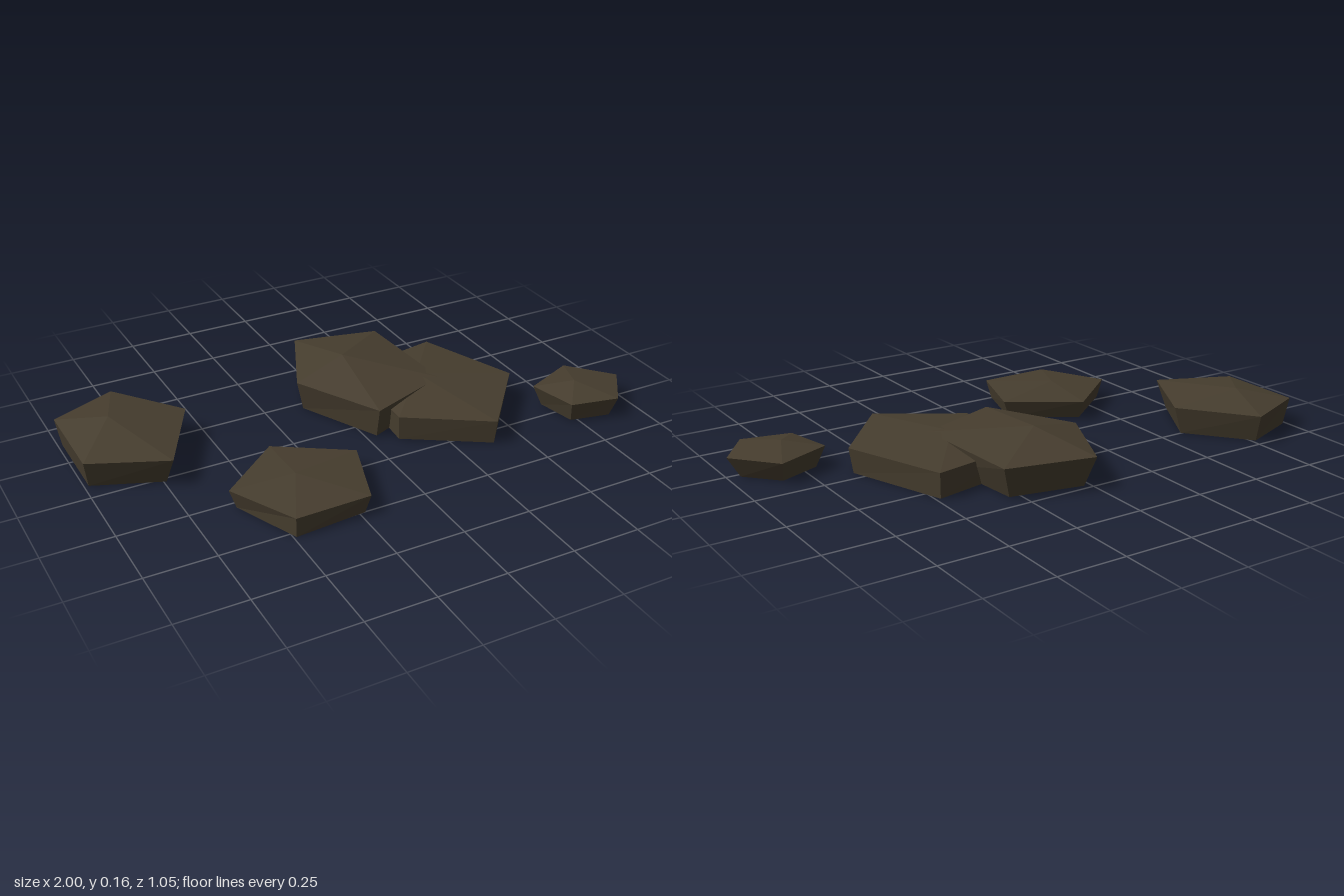
import * as THREE from 'three';

// Each stone: apex [x, y, z], rim height, rim corners [x, z, inset of the foot towards the apex],
// corners run clockwise as seen from above.
const STONES = [
  { name: 'stoneFarRight', apex: [-0.84, 0.137, -0.265], rimY: 0.103, rim: [
    [-1, -0.39, 0.9], [-0.755, -0.495, 0.86], [-0.56, -0.245, 0.89], [-0.725, 0.065, 0.87], [-1, -0.055, 0.9]] },
  { name: 'stoneFront', apex: [-0.39, 0.093, 0.31], rimY: 0.07, rim: [
    [-0.38, 0.08, 0.87], [-0.125, 0.245, 0.9], [-0.215, 0.518, 0.92], [-0.49, 0.524, 1], [-0.615, 0.275, 0.9]] },
  { name: 'stoneLarge', apex: [0.08, 0.16, -0.26], rimY: 0.116, rim: [
    [0.01, -0.53, 0.81], [0.328, -0.457, 0.84], [0.355, -0.005, 0.9], [0.037, 0.115, 0.93], [-0.133, -0.21, 0.88]] },
  { name: 'stoneMiddle', apex: [0.29, 0.124, -0.06], rimY: 0.092, rim: [
    [0.487, -0.32, 0.98], [0.63, 0.055, 0.96], [0.39, 0.34, 0.97], [0.096, 0.15, 0.98], [0.12, -0.25, 0.95]] },
  { name: 'stoneSmall', apex: [0.8, 0.103, 0.23], rimY: 0.077, rim: [
    [0.865, 0.075, 0.74], [1, 0.23, 0.77], [0.89, 0.383, 0.83], [0.71, 0.345, 0.82], [0.667, 0.16, 0.77]] },
];

// Low faceted slab: fan roof up to the apex, tapering sides, flat underside
function stoneGeometry({ apex, rimY, rim }) {
  const top = rim.map(([x, z]) => [x, rimY, z]);
  const foot = rim.map(([x, z, t]) => [
    THREE.MathUtils.lerp(apex[0], x, t), 0, THREE.MathUtils.lerp(apex[2], z, t)]);
  const n = rim.length;
  const points = [];
  for (let i = 0; i < n; i++) {
    const j = (i + 1) % n;
    points.push(apex, top[j], top[i]);
    points.push(top[i], top[j], foot[j], top[i], foot[j], foot[i]);
    if (i > 0 && j > 0) points.push(foot[0], foot[i], foot[j]);
  }
  const geometry = new THREE.BufferGeometry();
  geometry.setAttribute('position', new THREE.Float32BufferAttribute(points.flat(), 3));
  geometry.computeVertexNormals();
  return geometry;
}

export function createModel() {
  const group = new THREE.Group();
  group.name = 'steppingStones';
  const stone = new THREE.MeshStandardMaterial({ color: 0x463d2e });
  stone.name = 'dark brown stone';
  stone.flatShading = true;
  for (const spec of STONES) {
    const mesh = new THREE.Mesh(stoneGeometry(spec), stone);
    mesh.name = spec.name;
    group.add(mesh);
  }
  return group;
}
